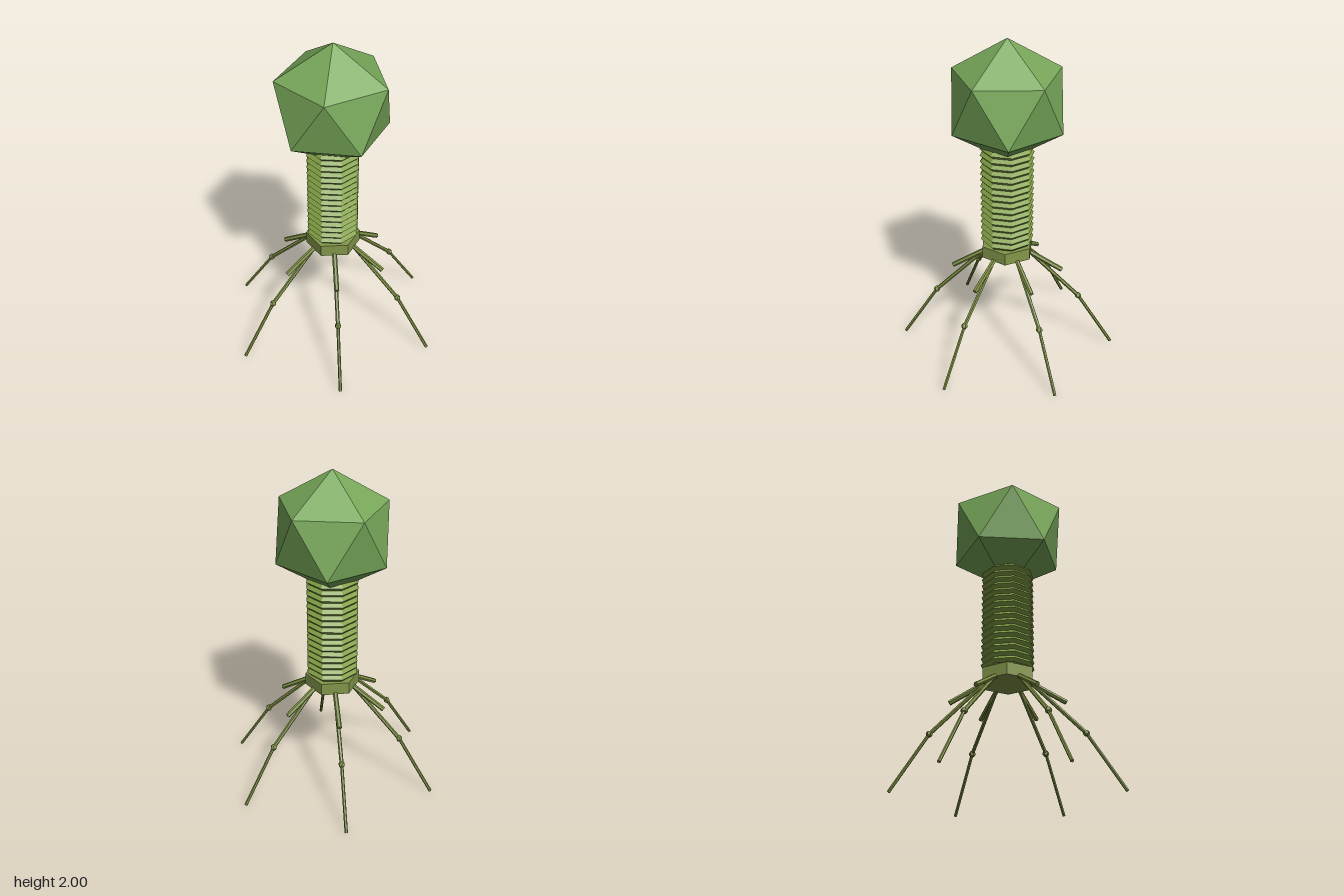
import * as THREE from 'three';
import { ConvexGeometry } from 'three/addons/geometries/ConvexGeometry.js';

const paint = (color) => new THREE.MeshStandardMaterial({ color, flatShading: true });
const headMat = paint(0x78a85a);
const sheathMat = paint(0x82a046);
const plateMat = paint(0x82964a);
const legMat = paint(0x7c8e42);

function add(parent, name, geometry, material) {
  const mesh = new THREE.Mesh(geometry, material);
  mesh.name = name;
  parent.add(mesh);
  return mesh;
}

// Straight rod between two points [x, y] in the XY plane
function rod(parent, name, a, b, radius, sides) {
  const from = new THREE.Vector3(a[0], a[1], 0);
  const to = new THREE.Vector3(b[0], b[1], 0);
  const dir = to.clone().sub(from);
  const mesh = add(parent, name, new THREE.CylinderGeometry(radius, radius, dir.length(), sides), legMat);
  mesh.position.copy(from).add(to).multiplyScalar(0.5);
  mesh.quaternion.setFromUnitVectors(new THREE.Vector3(0, 1, 0), dir.normalize());
}

export function createModel() {
  const model = new THREE.Group();
  model.name = 'bacteriophage';

  // Head: icosahedron standing on a corner
  const R = 0.37;
  const ring = R * 2 / Math.sqrt(5);
  const rise = R / Math.sqrt(5);
  const corners = [new THREE.Vector3(0, R, 0), new THREE.Vector3(0, -R, 0)];
  for (let i = 0; i < 10; i++) {
    const a = i * Math.PI / 5;
    corners.push(new THREE.Vector3(ring * Math.cos(a), i % 2 ? -rise : rise, ring * Math.sin(a)));
  }
  add(model, 'head', new ConvexGeometry(corners), headMat).position.y = 2 - R;

  // Tail sheath: stack of sharp-edged rings
  const sheath = new THREE.Group();
  sheath.name = 'tailSheath';
  model.add(sheath);
  const ringGeometry = new THREE.TorusGeometry(0.142, 0.02, 4, 8).rotateX(Math.PI / 2);
  for (let i = 0; i < 16; i++) {
    add(sheath, 'sheathRing', ringGeometry, sheathMat).position.y = 0.745 + i * 0.04;
  }

  // Hexagonal base plate
  add(model, 'basePlate', new THREE.CylinderGeometry(0.165, 0.165, 0.075, 6), plateMat).position.y = 0.678;

  // Six jointed legs, each with a short spike above it
  for (let i = 0; i < 6; i++) {
    const leg = new THREE.Group();
    leg.name = 'leg';
    leg.rotation.y = i * Math.PI / 3;
    model.add(leg);
    rod(leg, 'upperLeg', [0.14, 0.645], [0.445, 0.342], 0.012, 6);
    rod(leg, 'lowerLeg', [0.445, 0.342], [0.66, 0.008], 0.01, 6);
    add(leg, 'knee', new THREE.SphereGeometry(0.02, 6, 5), legMat).position.set(0.445, 0.342, 0);
    rod(leg, 'spike', [0.14, 0.645], [0.337, 0.527], 0.015, 6);
  }

  return model;
}
